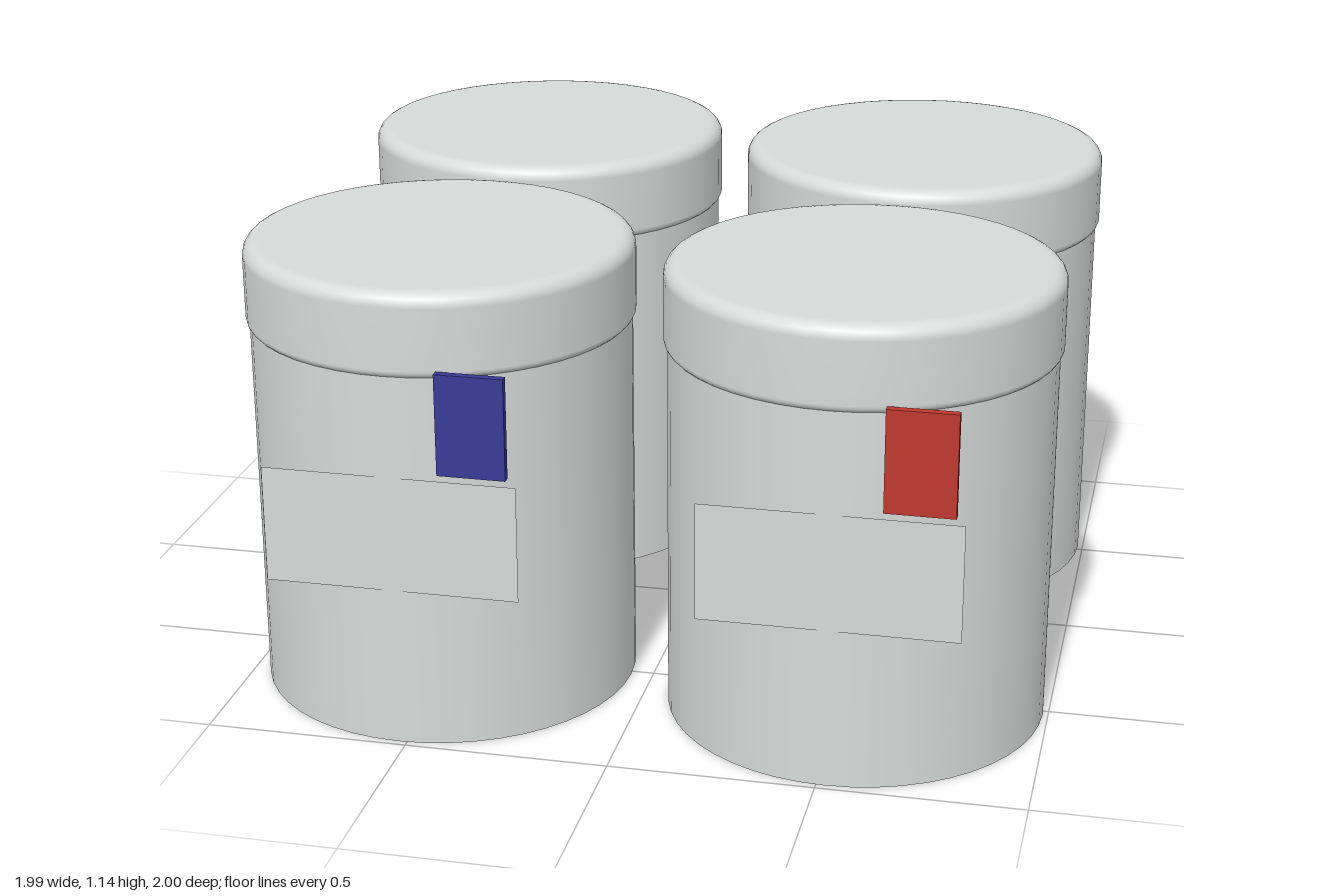
import * as THREE from 'three';

const paint = (name, color, extra = {}) => {
  const m = new THREE.MeshStandardMaterial({ color, ...extra });
  m.name = name;
  return m;
};

export function createModel() {
  const pale = paint('pale grey', 0xd6dad8);
  const label = paint('label grey', 0xd6dad8, { side: THREE.DoubleSide });
  const blue = paint('blue', 0x383a96);
  const red = paint('red', 0xbf382f);
  const green = paint('green', 0x4c7838);

  const R = 0.467, LID = 0.476, SEG = 48;

  // Straight jar body with crisp rims
  const bodyGeo = new THREE.CylinderGeometry(R, R, 0.945, SEG);
  bodyGeo.translate(0, 0.4725, 0);

  // Lid profile: flat faces joined by rounded edges
  const profile = [new THREE.Vector2(0, 0.937), new THREE.Vector2(LID - 0.03, 0.937)];
  const fillet = (y, radius, from) => {
    for (let i = 0; i <= 5; i++) {
      const a = from + (i / 5) * Math.PI / 2;
      profile.push(new THREE.Vector2(LID - radius + Math.cos(a) * radius, y + Math.sin(a) * radius));
    }
  };
  fillet(0.957, 0.02, -Math.PI / 2);
  fillet(1.11, 0.035, 0);
  profile.push(new THREE.Vector2(LID - 0.045, 1.145), new THREE.Vector2(0, 1.145));
  const lidGeo = new THREE.LatheGeometry(profile, SEG);

  const labelGeo = new THREE.PlaneGeometry(0.62, 0.29);
  const tagGeo = new THREE.BoxGeometry(0.165, 0.25, 0.02);

  const model = new THREE.Group();
  model.name = 'jarSet';

  const addJar = (name, x, z, tagColor) => {
    const jar = new THREE.Group();
    jar.name = name;
    const add = (part, geo, mat, px = 0, py = 0, pz = 0) => {
      const mesh = new THREE.Mesh(geo, mat);
      mesh.name = part;
      mesh.position.set(px, py, pz);
      jar.add(mesh);
    };
    add('body', bodyGeo, pale);
    add('lid', lidGeo, pale);
    add('labelPlate', labelGeo, label, 0, 0.545, R + 0.001);
    add('colourTag', tagGeo, tagColor, 0.207, 0.835, 0.471);
    jar.position.set(x, 0, z);
    model.add(jar);
  };

  addJar('frontRightJar', -0.522, 0.517, blue);
  addJar('frontLeftJar', 0.52, 0.517, red);
  addJar('backRightJar', -0.522, -0.524, green);
  addJar('backLeftJar', 0.52, -0.524, green);
  return model;
}
